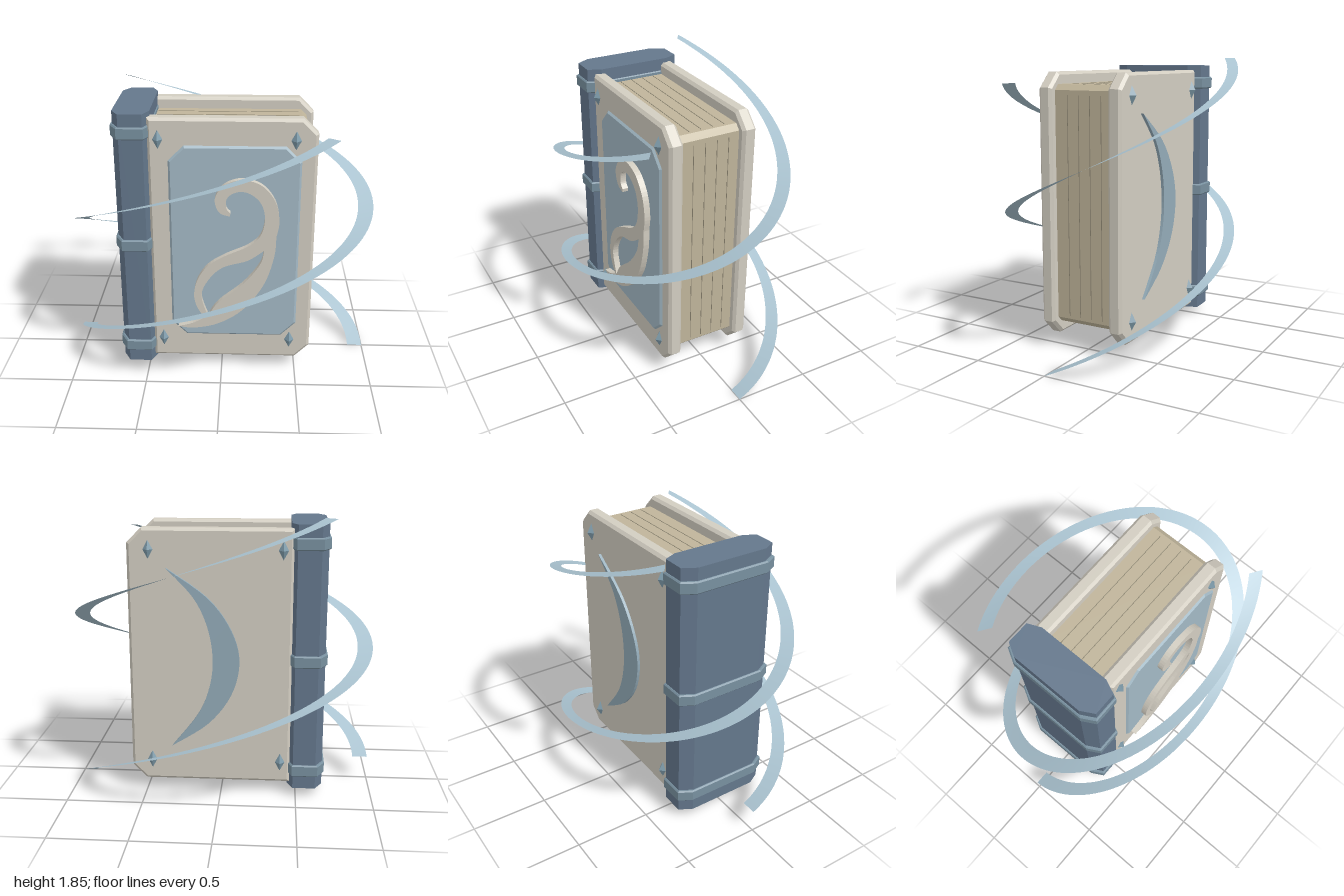
import * as THREE from 'three';

const mat = (color, double = false) => new THREE.MeshStandardMaterial({
  color, side: double ? THREE.DoubleSide : THREE.FrontSide,
});
const MATS = {
  cover: mat(0xd2cdc1), spine: mat(0x64778c), band: mat(0x78909f), panel: mat(0xa3b9c5),
  pages: mat(0xbfb49a), pageLine: mat(0x8f8874), gem: mat(0x7f9cab),
  moon: mat(0x93abb8), ribbon: mat(0xaac3d0, true),
};

function add(parent, name, geometry, material) {
  const mesh = new THREE.Mesh(geometry, material);
  mesh.name = name;
  parent.add(mesh);
  return mesh;
}

const vecs = (pts) => pts.map(([x, y]) => new THREE.Vector2(x, y));

// Smooth runs of points joined at sharp corners
function curvePoints(runs, steps = 5) {
  return runs.flatMap((run) =>
    new THREE.SplineCurve(vecs(run)).getPoints((run.length - 1) * steps).slice(0, -1));
}

// Rectangle with cut corners; left corners can be kept square
function cutRect(x0, x1, y0, y1, cut, cutLeft = cut) {
  const pts = [[x0 + cutLeft, y0], [x1 - cut, y0], [x1, y0 + cut], [x1, y1 - cut],
    [x1 - cut, y1], [x0 + cutLeft, y1]];
  if (cutLeft > 0) pts.push([x0, y1 - cutLeft], [x0, y0 + cutLeft]);
  return new THREE.Shape(vecs(pts));
}

// Extrusion from z0 to z1 with a bevel kept inside the outline
function slab(shape, z0, z1, bevel = 0) {
  const g = new THREE.ExtrudeGeometry(shape, {
    depth: z1 - z0 - 2 * bevel, bevelEnabled: bevel > 0, bevelSize: bevel,
    bevelThickness: bevel, bevelOffset: -bevel, bevelSegments: 1, curveSegments: 24,
  });
  return g.translate(0, 0, z0 + bevel);
}

// Upright eight-sided prism for the spine and its bands
function spinePrism(grow, y0, y1, bevel) {
  const x0 = -0.675 - grow, x1 = -0.442 + grow * 0.5, z = 0.326 + grow, cx = 0.047, cz = 0.085;
  const shape = new THREE.Shape(vecs([
    [x0 + cx, -z], [x1 - cx * 0.8, -z], [x1, -z + cz], [x1, z - cz],
    [x1 - cx * 0.8, z], [x0 + cx, z], [x0, z - cz], [x0, -z + cz]]));
  return slab(shape, y0, y1, bevel).rotateX(-Math.PI / 2);
}

// Flat ribbon climbing round an ellipse
function ribbonGeometry(startAngle, startY) {
  const n = 112, sweep = Math.PI * 1.75, rise = 1.7;
  const pos = [], index = [];
  for (let i = 0; i <= n; i++) {
    const t = startAngle + (sweep * i) / n, y = startY + (rise * i) / n;
    pos.push(0.9 * Math.cos(t), y, -0.615 * Math.sin(t));
    pos.push(Math.cos(t), y, -0.683 * Math.sin(t));
    if (i < n) {
      const a = i * 2;
      index.push(a, a + 1, a + 3, a, a + 3, a + 2);
    }
  }
  const g = new THREE.BufferGeometry();
  g.setAttribute('position', new THREE.Float32BufferAttribute(pos, 3));
  g.setIndex(index);
  g.computeVertexNormals();
  return g;
}

// Curling leaf ornament with an open centre
function ornamentShape() {
  const shape = new THREE.Shape(curvePoints([
    [[-0.287, 0.344], [-0.18, 0.334], [-0.02, 0.371], [0.142, 0.478], [0.276, 0.665],
      [0.34, 0.868], [0.351, 1.012]],
    [[0.351, 1.012], [0.367, 1.119], [0.34, 1.252], [0.254, 1.359], [0.131, 1.396],
      [0.019, 1.359], [-0.04, 1.268], [-0.013, 1.177], [0.055, 1.15]],
    [[0.055, 1.15], [0.058, 1.172]],
    [[0.058, 1.172], [0.03, 1.21], [0.04, 1.279], [0.104, 1.316], [0.179, 1.305],
      [0.249, 1.241], [0.276, 1.135], [0.249, 1.017], [0.169, 0.942], [0.024, 0.873],
      [-0.088, 0.798], [-0.158, 0.691], [-0.179, 0.574], [-0.153, 0.478], [-0.106, 0.417]],
    [[-0.106, 0.417], [-0.19, 0.371], [-0.287, 0.344]],
  ]));
  shape.holes.push(new THREE.Path(curvePoints([
    [[0.276, 0.916], [0.169, 0.841], [0.01, 0.79], [-0.088, 0.691], [-0.131, 0.574],
      [-0.088, 0.425]],
    [[-0.088, 0.425], [-0.02, 0.53], [0.142, 0.67], [0.25, 0.814], [0.276, 0.916]],
  ])));
  return shape;
}

export function createModel() {
  const book = new THREE.Group();
  book.name = 'book';

  // Covers
  const coverShape = cutRect(-0.46, 0.595, 0.08, 1.77, 0.095, 0);
  add(book, 'frontCover', slab(coverShape, 0.2, 0.293, 0.018), MATS.cover);
  add(book, 'backCover', slab(coverShape, -0.293, -0.2, 0.018), MATS.cover);

  // Page block with softened fore edge and fine page lines
  const pageShape = new THREE.Shape(vecs([[-0.45, 0.165], [0.51, 0.165], [0.545, 0.2],
    [0.545, 1.66], [0.51, 1.695], [-0.45, 1.695]]));
  add(book, 'pages', slab(pageShape, -0.203, 0.203), MATS.pages);
  for (const z of [-0.13, -0.05, 0.03, 0.11]) {
    add(book, 'foreEdgeLine', new THREE.BoxGeometry(0.004, 1.41, 0.004), MATS.pageLine)
      .position.set(0.545, 0.925, z);
    for (const y of [0.165, 1.695]) {
      add(book, 'pageEdgeLine', new THREE.BoxGeometry(0.92, 0.004, 0.004), MATS.pageLine)
        .position.set(0.03, y, z);
    }
  }

  // Spine and raised bands
  add(book, 'spine', spinePrism(0, 0.055, 1.8, 0), MATS.spine);
  for (const y of [0.18, 0.928, 1.68]) {
    add(book, 'spineBand', spinePrism(0.013, y - 0.04, y + 0.04, 0.008), MATS.band);
  }

  // Front panel and ornament
  add(book, 'frontPanel', slab(cutRect(-0.335, 0.5, 0.255, 1.6, 0.1), 0.26, 0.306, 0.015),
    MATS.panel);
  add(book, 'ornament', slab(ornamentShape(), 0.295, 0.346), MATS.cover);

  // Crescent on the back cover
  const crescent = new THREE.Shape(curvePoints([
    [[0.345, 1.52], [0.08, 1.33], [-0.07, 1.12], [-0.122, 0.91], [-0.07, 0.69],
      [0.08, 0.49], [0.32, 0.33]],
    [[0.32, 0.33], [0.15, 0.55], [0.075, 0.73], [0.05, 0.92], [0.08, 1.13],
      [0.17, 1.33], [0.345, 1.52]],
  ]));
  add(book, 'backCrescent', slab(crescent, -0.312, -0.28), MATS.moon);

  // Corner gems on both covers
  for (const z of [-0.293, 0.293]) {
    for (const x of [-0.393, 0.458]) {
      for (const y of [0.223, 1.635]) {
        const gem = add(book, 'cornerGem', new THREE.OctahedronGeometry(1), MATS.gem);
        gem.scale.set(0.032, 0.06, 0.032);
        gem.position.set(x, y, z);
      }
    }
  }

  // Two ribbons winding round the book
  add(book, 'lowerRibbon', ribbonGeometry(0, 0), MATS.ribbon);
  add(book, 'upperRibbon', ribbonGeometry(Math.PI, 0.153), MATS.ribbon);

  return book;
}
